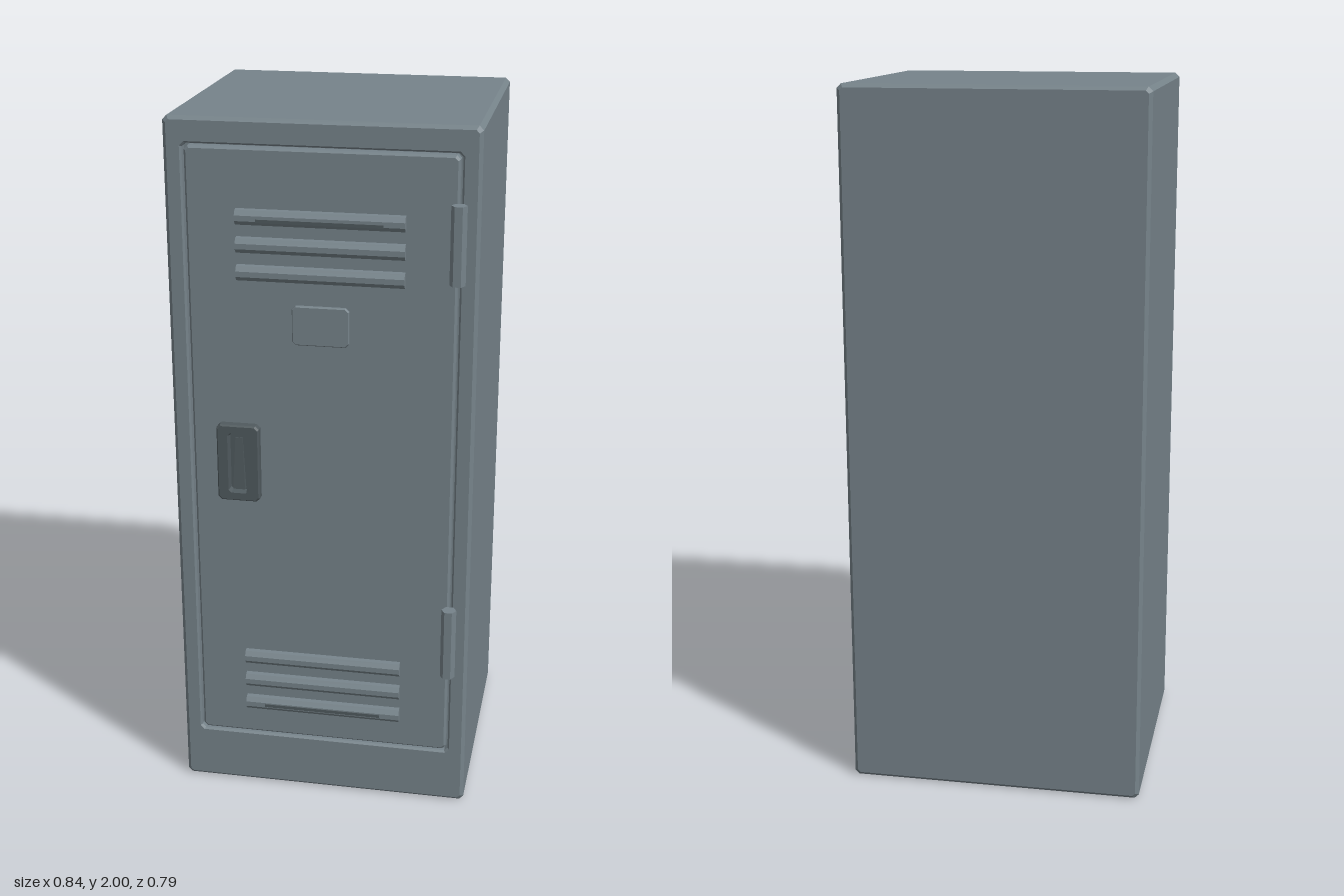
import * as THREE from 'three';

// Skin a series of chamfered rectangles [cx, cy, width, height, corner, z], capped at both ends.
function loft(rings) {
  const loops = rings.map(([cx, cy, w, h, c, z]) => {
    const x = w / 2, y = h / 2;
    return [
      [x, -y + c], [x, y - c], [x - c, y], [-x + c, y],
      [-x, y - c], [-x, -y + c], [-x + c, -y], [x - c, -y],
    ].map(([px, py]) => [cx + px, cy + py, z]);
  });
  const out = [];
  const tri = (a, b, c) => out.push(...a, ...b, ...c);
  for (let r = 0; r < loops.length - 1; r++) {
    const a = loops[r], b = loops[r + 1];
    for (let i = 0; i < 8; i++) {
      const j = (i + 1) % 8;
      tri(a[i], a[j], b[j]);
      tri(a[i], b[j], b[i]);
    }
  }
  const first = loops[0], last = loops[loops.length - 1];
  for (let i = 1; i < 7; i++) {
    tri(first[0], first[i + 1], first[i]);
    tri(last[0], last[i], last[i + 1]);
  }
  const geo = new THREE.BufferGeometry();
  geo.setAttribute('position', new THREE.Float32BufferAttribute(out, 3));
  geo.computeVertexNormals();
  return geo;
}

export function createModel() {
  const model = new THREE.Group();
  model.name = 'locker';
  const steel = new THREE.MeshStandardMaterial({ color: 0x76838a });
  steel.name = 'painted steel';
  const dark = new THREE.MeshStandardMaterial({ color: 0x505a5e });
  dark.name = 'dark handle metal';

  function add(name, geometry, material = steel, x = 0, y = 0, z = 0) {
    const mesh = new THREE.Mesh(geometry, material);
    mesh.name = name;
    mesh.position.set(x, y, z);
    model.add(mesh);
    return mesh;
  }

  const front = 0.357, back = -0.397;
  const doorY = 1.047;

  // Cabinet with chamfered edges and a recessed opening in the front
  add('cabinet', loft([
    [0, 1, 0.82, 1.98, 0.008, back],
    [0, 1, 0.84, 2, 0.012, back + 0.01],
    [0, 1, 0.84, 2, 0.012, front - 0.01],
    [0, 1, 0.82, 1.98, 0.008, front],
    [0, doorY, 0.75, 1.775, 0.012, front],
    [0, doorY, 0.74, 1.765, 0.01, front - 0.006],
    [0, doorY, 0.74, 1.765, 0.01, front - 0.03],
  ]));

  // Door set into the opening, leaving a narrow gap all round
  add('door', loft([
    [0, doorY, 0.728, 1.753, 0.01, front - 0.03],
    [0, doorY, 0.728, 1.753, 0.01, front - 0.006],
    [0, doorY, 0.716, 1.741, 0.008, front],
  ]));

  // Vent louvres: rounded ridges in two groups of three
  const ridge = new THREE.Shape();
  ridge.moveTo(-0.004, -0.021);
  ridge.lineTo(0.01, -0.021);
  ridge.lineTo(0.021, -0.009);
  ridge.lineTo(0.021, 0.006);
  ridge.lineTo(0.012, 0.019);
  ridge.lineTo(-0.004, 0.022);
  ridge.closePath();
  const louvreGeo = new THREE.ExtrudeGeometry(ridge, { depth: 0.454, bevelEnabled: false });
  louvreGeo.translate(0, 0, -0.227);
  louvreGeo.rotateY(-Math.PI / 2);
  for (const top of [1.742, 0.428]) {
    for (let i = 0; i < 3; i++) {
      add('louvre', louvreGeo, steel, 0, top - i * 0.076, front);
    }
  }
  // Dark slits on the outermost louvres
  for (const y of [1.735, 0.274]) {
    add('louvreSlit', new THREE.BoxGeometry(0.34, 0.009, 0.004), dark, 0, y, front + 0.0198);
  }

  // Name plate
  add('namePlate', loft([
    [0, 1.45, 0.156, 0.11, 0.01, front - 0.002],
    [0, 1.45, 0.156, 0.11, 0.01, front + 0.006],
    [0, 1.45, 0.15, 0.104, 0.008, front + 0.01],
  ]));

  // Handle plate with a recessed finger pull
  const hx = -0.232, hy = 1.044;
  add('handlePlate', loft([
    [hx, hy, 0.12, 0.226, 0.01, front - 0.002],
    [hx, hy, 0.12, 0.226, 0.01, front + 0.02],
    [hx, hy, 0.112, 0.218, 0.009, front + 0.025],
    [hx, hy, 0.058, 0.178, 0.008, front + 0.025],
    [hx, hy, 0.05, 0.168, 0.006, front + 0.004],
  ]), dark);
  // Tapered lever, wider and prouder toward its foot
  const lever = new THREE.BoxGeometry(0.034, 0.15, 0.016);
  const p = lever.attributes.position;
  for (let i = 0; i < p.count; i++) {
    if (p.getY(i) > 0) {
      p.setX(i, p.getX(i) * 0.6);
      if (p.getZ(i) > 0) p.setZ(i, -0.004);
    }
  }
  lever.computeVertexNormals();
  add('handleLever', lever, dark, hx, hy - 0.004, front + 0.011);

  // Six-sided hinge barrels on the left edge of the door
  const barrel = new THREE.CylinderGeometry(0.0212, 0.0212, 0.212, 6).toNonIndexed();
  barrel.rotateY(Math.PI / 6);
  barrel.computeVertexNormals();
  for (const y of [1.694, 0.534]) add('hinge', barrel, steel, 0.366, y, 0.376);

  return model;
}
